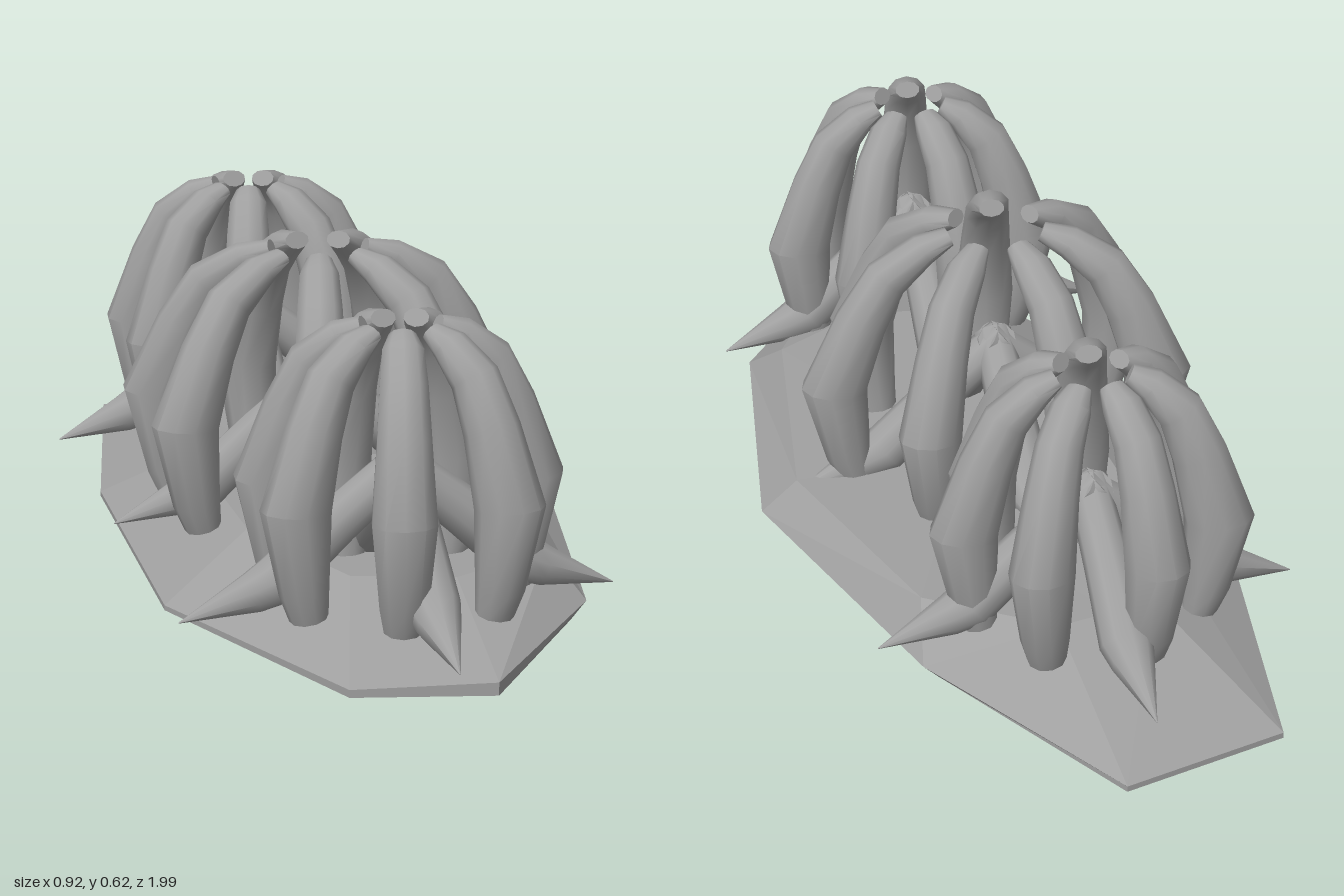
import * as THREE from 'three';
import { toCreasedNormals } from 'three/addons/utils/BufferGeometryUtils.js';

// Skin a stack of closed rings (bottom to top) and cap both ends
function loft(rings, crease) {
  const pos = [];
  const tri = (...pts) => pts.forEach((p) => pos.push(p.x, p.y, p.z));
  const n = rings[0].length;
  const mid = (r) => r.reduce((s, p) => s.add(p), new THREE.Vector3()).divideScalar(n);
  const first = rings[0], last = rings[rings.length - 1];
  const c0 = mid(first), c1 = mid(last);
  for (let k = 0; k < n; k++) {
    const m = (k + 1) % n;
    for (let i = 0; i < rings.length - 1; i++) {
      const a = rings[i], b = rings[i + 1];
      tri(a[k], b[k], a[m]);
      tri(a[m], b[k], b[m]);
    }
    tri(c0, first[k], first[m]);
    tri(c1, last[m], last[k]);
  }
  const geo = new THREE.BufferGeometry();
  geo.setAttribute('position', new THREE.Float32BufferAttribute(pos, 3));
  return toCreasedNormals(geo, crease);
}

// Elliptical sections [radius from centre, height, half thickness, half width] along a path
function limb(path, sides, reach = 1) {
  const pts = path.map(([r, y]) => new THREE.Vector2(r * reach, y));
  const rings = path.map(([, , thick, wide], i) => {
    const t = pts[Math.min(i + 1, pts.length - 1)].clone().sub(pts[Math.max(i - 1, 0)]).normalize();
    return Array.from({ length: sides }, (_, k) => {
      const a = (k / sides) * Math.PI * 2;
      const d = thick * Math.cos(a);
      return new THREE.Vector3(pts[i].x + t.y * d, pts[i].y - t.x * d, wide * Math.sin(a));
    });
  });
  return loft(rings, 0.8);
}

const CLAW = [
  [0.295, 0.09, 0.036, 0.038],
  [0.31, 0.14, 0.046, 0.047],
  [0.336, 0.3, 0.068, 0.062],
  [0.278, 0.44, 0.054, 0.052],
  [0.225, 0.53, 0.046, 0.046],
  [0.15, 0.582, 0.032, 0.04],
  [0.095, 0.602, 0.018, 0.026],
];

const SPIKE = [
  [-0.02, 0.355, 0.04, 0.04],
  [0.12, 0.24, 0.046, 0.046],
  [0.235, 0.135, 0.05, 0.052],
  [0.28, 0.116, 0.04, 0.042],
  [0.42, 0.07, 0.001, 0.001],
];

// Rock slab: [rim x, rim z, rim height, top x, top z]
const SLAB = [
  [-0.28, -0.94, 0.012, -0.15, -0.6],
  [0.05, -1.0, 0.012, 0.05, -0.62],
  [0.3, -0.56, 0.03, 0.27, -0.45],
  [0.455, 0.04, 0.035, 0.38, 0.04],
  [0.33, 0.61, 0.035, 0.28, 0.52],
  [0.05, 0.94, 0.025, 0.07, 0.62],
  [-0.21, 0.88, 0.015, -0.12, 0.56],
  [-0.43, 0.36, 0.01, -0.24, 0.25],
  [-0.41, -0.34, 0.01, -0.24, -0.25],
];

export function createModel() {
  const model = new THREE.Group();
  model.name = 'clawCoral';
  const stone = new THREE.MeshStandardMaterial({ color: 0xa0a0a0 });
  stone.name = 'stone grey';

  const add = (parent, name, geo) => {
    const mesh = new THREE.Mesh(geo, stone);
    mesh.name = name;
    parent.add(mesh);
    return mesh;
  };

  // Faceted base
  add(model, 'base', loft([
    SLAB.map(([x, z]) => new THREE.Vector3(x > 0.2 ? x - 0.03 : x, 0, z)),
    SLAB.map(([x, z, y]) => new THREE.Vector3(x, y, z)),
    SLAB.map(([, , , x, z]) => new THREE.Vector3(x, x > 0.35 ? 0.095 : 0.11, z)),
  ], 0.02));

  // Three clusters of seven claws over four spikes; the middle one is wider
  const spikeGeo = limb(SPIKE, 10);
  const smallClaw = limb(CLAW, 10, 0.74);
  const largeClaw = limb(CLAW, 10);
  for (const [name, z, clawGeo] of [
    ['backCluster', -0.53, smallClaw],
    ['middleCluster', 0.04, largeClaw],
    ['frontCluster', 0.615, smallClaw],
  ]) {
    const cluster = new THREE.Group();
    cluster.name = name;
    cluster.position.set(-0.04, 0, z);
    cluster.scale.z = 0.9;
    for (let i = 0; i < 7; i++) add(cluster, 'claw', clawGeo).rotation.y = (i / 7) * Math.PI * 2;
    for (let i = 0; i < 4; i++) add(cluster, 'spike', spikeGeo).rotation.y = (i / 4) * Math.PI * 2;
    model.add(cluster);
  }
  return model;
}
